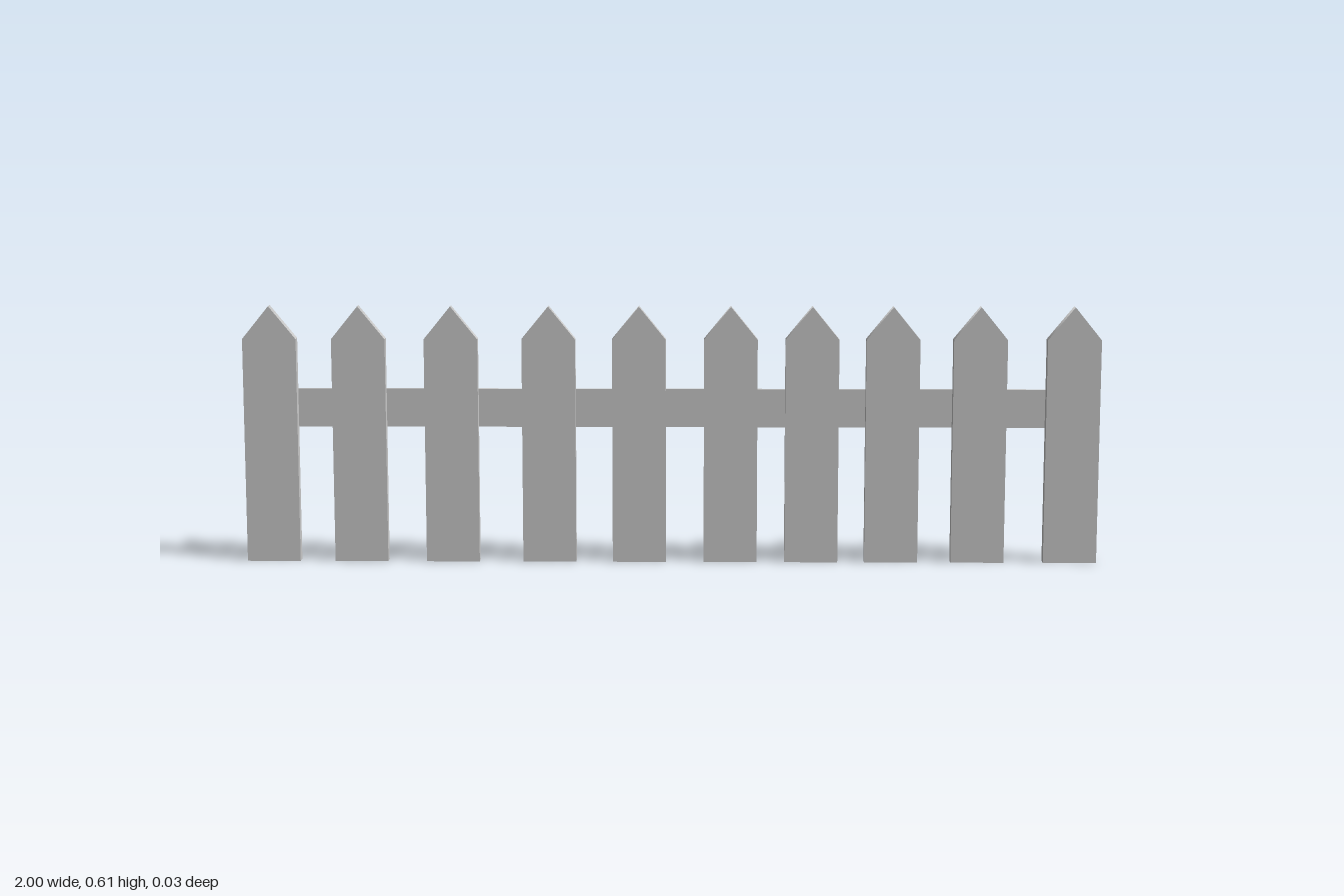
import * as THREE from 'three';

const WIDTH = 0.125, SHOULDER = 0.528, TOP = 0.605;
const BACK = -0.0075, FRONT = 0.018;

// Flat board with a pointed top
function picketGeometry() {
  const w = WIDTH / 2;
  const shape = new THREE.Shape();
  shape.moveTo(-w, 0);
  shape.lineTo(w, 0);
  shape.lineTo(w, SHOULDER);
  shape.lineTo(0, TOP);
  shape.lineTo(-w, SHOULDER);
  shape.closePath();
  const geometry = new THREE.ExtrudeGeometry(shape, { depth: FRONT - BACK, bevelEnabled: false });
  geometry.translate(0, 0, BACK);

  // Soft shading across the ridge of the point
  const { position, normal } = geometry.attributes;
  for (let i = 0; i < position.count; i++) {
    if (position.getY(i) > TOP - 1e-4 && Math.abs(normal.getZ(i)) < 0.5) normal.setXYZ(i, 0, 1, 0);
  }
  return geometry;
}

export function createModel() {
  const fence = new THREE.Group();
  fence.name = 'picketFence';
  const material = new THREE.MeshStandardMaterial({ color: 0xcccccc });

  // Pickets, slightly unevenly spaced
  const centres = [-0.9375, -0.73, -0.514, -0.286, -0.075, 0.139, 0.329, 0.517, 0.72, 0.9375];
  const board = picketGeometry();
  centres.forEach((x, i) => {
    const picket = new THREE.Mesh(board, material);
    picket.name = `picket${i + 1}`;
    picket.position.x = x;
    fence.add(picket);
  });

  // Cross rail fixed to the back of the pickets
  const rail = new THREE.Mesh(new THREE.BoxGeometry(1.768, 0.09, 0.0095), material);
  rail.name = 'rail';
  rail.position.set(-0.002, 0.363, BACK - 0.00475);
  fence.add(rail);

  return fence;
}
